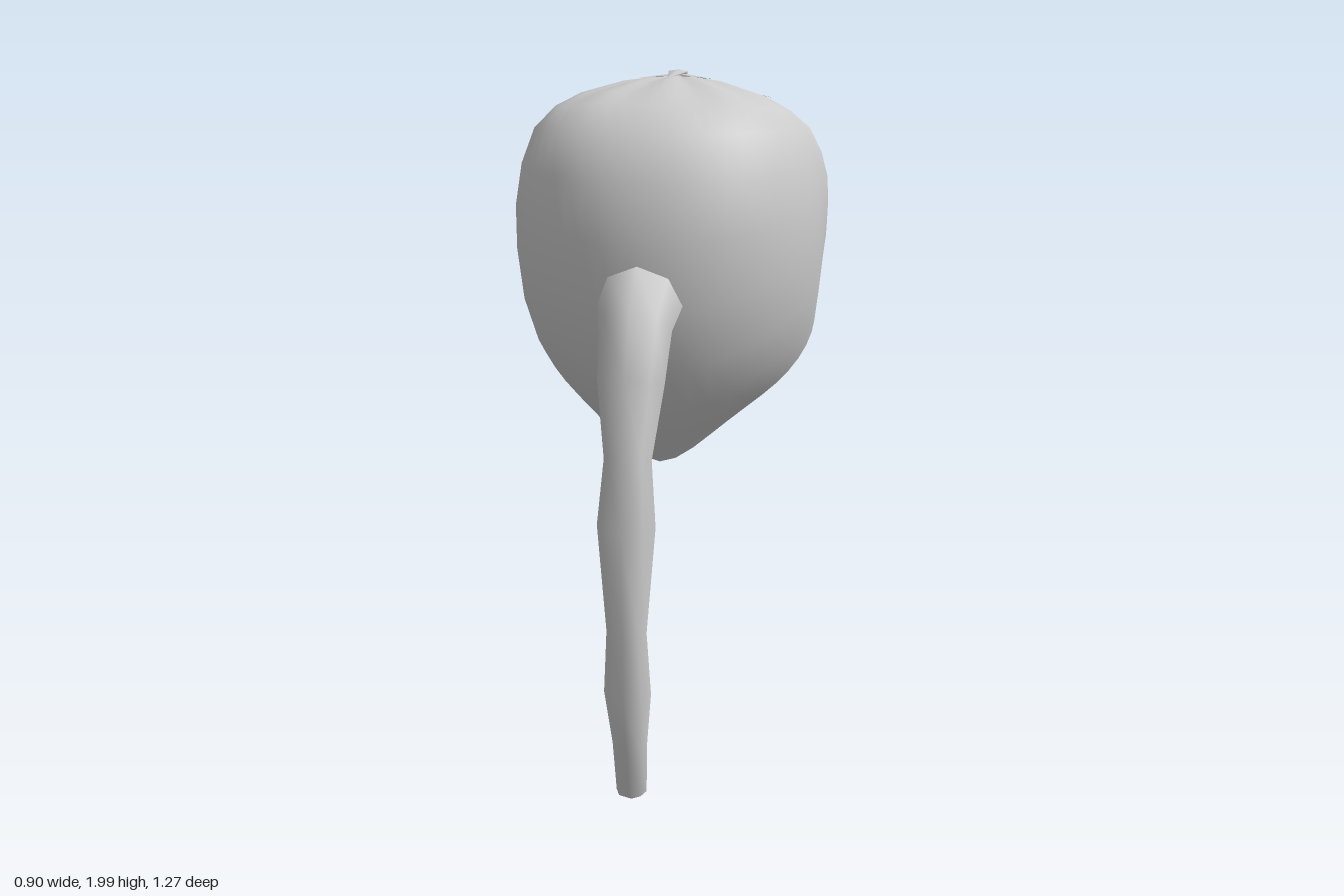
import * as THREE from 'three';

const SEG = 48;

// Skin a list of rings (top to bottom, each counter-clockwise from above)
function loft(rings) {
  const n = rings[0].length, pos = [], idx = [];
  rings.forEach(r => r.forEach(p => pos.push(p.x, p.y, p.z)));
  for (let i = 0; i < rings.length - 1; i++) {
    for (let j = 0; j < n; j++) {
      const k = (j + 1) % n;
      const a = i * n + j, b = a + n, c = (i + 1) * n + k, d = i * n + k;
      idx.push(a, b, c, a, c, d);
    }
  }
  const g = new THREE.BufferGeometry();
  g.setAttribute('position', new THREE.Float32BufferAttribute(pos, 3));
  g.setIndex(idx);
  g.computeVertexNormals();
  return g;
}

const spow = (v, e) => Math.sign(v) * Math.pow(Math.abs(v), e);

// Hood: tilted superellipse rings from the gathered crown to the open rim
function hoodGeometry() {
  // front z, front y, back z, back y, half width
  const keys = [
    [-0.235, 1.985, -0.255, 1.985, 0.01],
    [-0.10, 1.975, -0.305, 1.95, 0.15],
    [0.02, 1.95, -0.37, 1.905, 0.27],
    [0.13, 1.92, -0.435, 1.863, 0.34],
    [0.24, 1.85, -0.505, 1.82, 0.396],
    [0.31, 1.72, -0.555, 1.77, 0.43],
    [0.34, 1.55, -0.585, 1.73, 0.448],
    [0.33, 1.36, -0.603, 1.70, 0.45],
    [0.28, 1.18, -0.614, 1.675, 0.444],
    [0.19, 1.04, -0.622, 1.655, 0.433],
    [0.10, 0.945, -0.628, 1.64, 0.422],
    [0.04, 0.875, -0.63, 1.63, 0.415],
  ];
  const last = keys.length - 1;
  const pleat = [0, 0.004, 0.004, 0.002];
  const rings = keys.map(([fz, fy, bz, by, w], i) => {
    const t = Math.pow(i / last, 4);
    return Array.from({ length: SEG }, (_, j) => {
      const a = j / SEG * Math.PI * 2;
      const p = Math.cos(a) > 0 ? 2.1 - 0.25 * t : 4;
      const c = spow(Math.cos(a), 2 / p), x = w * spow(Math.sin(a), 2 / p);
      // the rim rises beside the front point and dips toward the back
      const sag = c > 0 ? 0.105 * c * (1 - Math.pow(c, 9)) : 0.038 * Math.sin(Math.PI * c);
      const wave = (pleat[i] || 0) * Math.cos(a * 10);
      return new THREE.Vector3(
        x,
        (fy + by) / 2 + c * (fy - by) / 2 + t * sag + wave,
        (fz + bz) / 2 + c * (fz - bz) / 2);
    });
  });
  return loft(rings);
}

// Trunk: rings of varying radius along a bent path in the middle plane
function trunkGeometry() {
  // z, y, radius
  const keys = [
    [0.20, 1.36, 0.002], [0.23, 1.37, 0.065], [0.28, 1.385, 0.09],
    [0.35, 1.392, 0.119], [0.42, 1.335, 0.102], [0.482, 1.2, 0.093],
    [0.53, 1.0, 0.066], [0.555, 0.82, 0.081], [0.556, 0.52, 0.056],
    [0.545, 0.34, 0.066], [0.515, 0.18, 0.049], [0.49, 0.03, 0.043],
    [0.488, 0.004, 0.002],
  ];
  const rings = keys.map(([z, y, r], i) => {
    const p = keys[Math.max(i - 1, 0)], q = keys[Math.min(i + 1, keys.length - 1)];
    const len = Math.hypot(q[0] - p[0], q[1] - p[1]);
    const tz = (q[0] - p[0]) / len, ty = (q[1] - p[1]) / len;
    return Array.from({ length: 8 }, (_, j) => {
      const a = j / 8 * Math.PI * 2, n = r * Math.cos(a);
      return new THREE.Vector3(r * Math.sin(a), y + n * tz, z - n * ty);
    });
  });
  return loft(rings);
}

// Flat tapering fold of cloth between two points
function fold(from, to, width, material) {
  const a = new THREE.Vector3(...from), b = new THREE.Vector3(...to);
  const dir = b.clone().sub(a), len = dir.length();
  const g = new THREE.ConeGeometry(width, len, 6);
  g.scale(1, 1, 0.25);
  const y = dir.normalize();
  const x = new THREE.Vector3().crossVectors(y, new THREE.Vector3(0, 1, 0)).normalize();
  const z = new THREE.Vector3().crossVectors(x, y);
  g.applyMatrix4(new THREE.Matrix4().makeBasis(x, y, z));
  const mesh = new THREE.Mesh(g, material);
  mesh.position.copy(a).add(b).multiplyScalar(0.5);
  mesh.name = 'crownFold';
  return mesh;
}

export function createModel() {
  const group = new THREE.Group();
  group.name = 'hoodWithTrunk';
  const grey = new THREE.MeshStandardMaterial({ color: 0xcccccc, side: THREE.DoubleSide });
  grey.name = 'light grey';

  const hood = new THREE.Mesh(hoodGeometry(), grey);
  hood.name = 'hood';
  const trunk = new THREE.Mesh(trunkGeometry(), grey);
  trunk.name = 'trunk';
  group.add(hood, trunk);

  // Gathered folds at the crown
  const folds = new THREE.Group();
  folds.name = 'crownFolds';
  folds.add(fold([0, 1.99, -0.265], [0, 1.985, -0.085], 0.032, grey));
  for (const s of [-1, 1]) {
    folds.add(fold([s * 0.01, 1.982, -0.26], [s * 0.11, 1.975, -0.2], 0.025, grey));
    folds.add(fold([s * 0.02, 1.982, -0.24], [s * 0.06, 1.985, -0.14], 0.02, grey));
    folds.add(fold([s * 0.01, 1.975, -0.265], [s * 0.28, 1.915, -0.31], 0.02, grey));
  }
  group.add(folds);
  return group;
}
